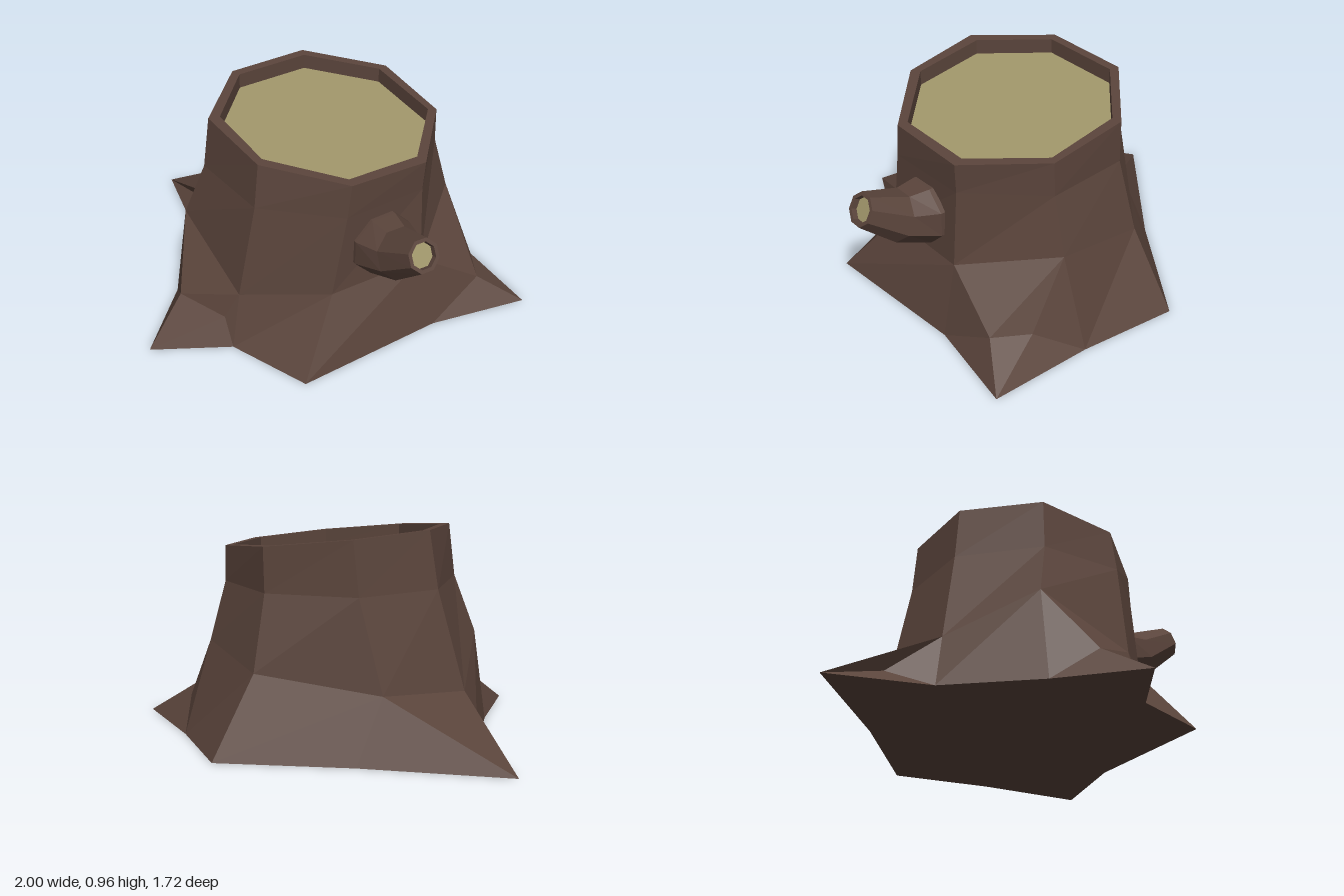
import * as THREE from 'three';

const bark = new THREE.MeshStandardMaterial({ color: 0x5a443b });
bark.name = 'bark brown';
const wood = new THREE.MeshStandardMaterial({ color: 0xa0966a });
wood.name = 'cut wood';

// Flat-faced mesh from convex polygons, each fanned into triangles
function facetMesh(name, material, polygons) {
  const pos = [];
  for (const p of polygons)
    for (let i = 1; i < p.length - 1; i++) pos.push(...p[0], ...p[i], ...p[i + 1]);
  const geo = new THREE.BufferGeometry();
  geo.setAttribute('position', new THREE.Float32BufferAttribute(pos, 3));
  geo.computeVertexNormals();
  const mesh = new THREE.Mesh(geo, material);
  mesh.name = name;
  return mesh;
}

// Quads joining a chain of equal rings
function loft(rings) {
  const quads = [];
  for (let k = 0; k < rings.length - 1; k++) {
    const a = rings[k], b = rings[k + 1];
    a.forEach((_, i) => {
      const j = (i + 1) % a.length;
      quads.push([a[i], a[j], b[j], b[i]]);
    });
  }
  return quads;
}

// Eight-sided ring round an axis
function ring(center, axis, radius) {
  const n = new THREE.Vector3(...axis).normalize();
  const u = new THREE.Vector3(0, 1, 0).addScaledVector(n, -n.y).normalize();
  const v = u.clone().cross(n);
  return Array.from({ length: 8 }, (_, i) => {
    const a = (i + 0.5) * Math.PI / 4;
    return new THREE.Vector3(...center)
      .addScaledVector(u, radius * Math.cos(a))
      .addScaledVector(v, radius * Math.sin(a)).toArray();
  });
}

// Height of the slanted cut
const cutY = (x) => 0.96 - (x + 0.4) * 0.112;

function buildTrunk() {
  const group = new THREE.Group();
  group.name = 'trunk';

  // Rings of eight corners, starting at the back and going towards +x
  const rimXZ = [[0.11, -0.565], [0.47, -0.41], [0.63, -0.03], [0.475, 0.32],
    [0.095, 0.46], [-0.26, 0.33], [-0.4, -0.04], [-0.26, -0.41]];
  const innerXZ = [[0.1, -0.52], [0.44, -0.385], [0.58, -0.04], [0.44, 0.29],
    [0.085, 0.415], [-0.23, 0.285], [-0.36, -0.04], [-0.23, -0.38]];
  const rim = rimXZ.map(([x, z]) => [x, cutY(x), z]);
  const inner = innerXZ.map(([x, z]) => [x, cutY(x), z]);
  const floor = innerXZ.map(([x, z]) => [x, cutY(x) - 0.07, z]);
  const mid = [[0.105, 0.7, -0.565], [0.47, 0.7, -0.415], [0.62, 0.7, -0.03], [0.465, 0.7, 0.335],
    [0.095, 0.7, 0.49], [-0.28, 0.7, 0.35], [-0.44, 0.7, -0.03], [-0.29, 0.7, -0.41]];
  const low = [[0.1, 0.36, -0.65], [0.51, 0.43, -0.48], [0.64, 0.33, -0.02], [0.43, 0.31, 0.39],
    [0.05, 0.25, 0.56], [-0.37, 0.44, 0.39], [-0.56, 0.25, 0.01], [-0.41, 0.285, -0.4]];

  // Ground outline: root tips and the hollows between them
  const backTip = [0.16, 0, -0.86], backHollow = [0.56, 0, -0.61];
  const leftTip = [1, 0, -0.39], leftHollow = [0.73, 0, -0.01];
  const cornerTip = [0.465, 0, 0.65], frontHollow = [0.06, 0, 0.63];
  const frontTip = [-0.24, 0, 0.855], sideHollow = [-0.4, 0, 0.45];
  const rightHollow = [-0.62, 0, 0.03], rightTip = [-1, 0, -0.26], rearHollow = [-0.38, 0, -0.55];
  const ground = [backTip, backHollow, leftTip, leftHollow, cornerTip, frontHollow,
    frontTip, sideHollow, rightHollow, rightTip, rearHollow];

  // Knuckles part of the way down the longer roots
  const leftBack = [0.7, 0.13, -0.42], leftFront = [0.81, 0.14, -0.27];
  const frontA = [-0.25, 0.15, 0.605], frontB = [0, 0.13, 0.605];
  const rightKnuckle = [-0.74, 0.07, -0.15];

  group.add(facetMesh('trunkBark', bark, loft([floor, inner, rim, mid, low])));
  group.add(facetMesh('roots', bark, [
    // back
    [low[7], low[0], backTip, rearHollow],
    [low[0], low[1], backHollow, backTip],
    // left root
    [low[1], leftBack, backHollow], [leftBack, leftTip, backHollow],
    [low[1], low[2], leftFront, leftBack], [leftBack, leftFront, leftTip],
    [leftFront, leftHollow, leftTip], [low[2], leftHollow, leftFront],
    // front left corner
    [low[2], low[3], cornerTip, leftHollow], [low[3], low[4], frontHollow, cornerTip],
    // front root
    [low[4], low[5], frontA, frontB], [frontA, frontTip, frontB],
    [frontB, frontTip, frontHollow], [frontB, frontHollow, low[4]],
    [low[5], sideHollow, frontA], [frontA, sideHollow, frontTip],
    // right root
    [low[5], low[6], rightHollow, sideHollow],
    [low[6], rightKnuckle, rightHollow], [rightKnuckle, rightTip, rightHollow],
    [low[6], low[7], rightTip], [low[6], rightTip, rightKnuckle],
    [low[7], rearHollow, rightTip],
  ]));
  group.add(facetMesh('underside', bark,
    ground.map((p, i) => [[0, 0, 0], p, ground[(i + 1) % ground.length]])));
  group.add(facetMesh('cutFace', wood, [[...floor].reverse()]));
  return group;
}

function buildBranch() {
  const group = new THREE.Group();
  group.name = 'branchStub';
  const axis = [0.82, 0.46, 0.4];
  const tip = [0.825, 0.645, 0.315];
  const sunk = tip.map((c, i) => c - axis[i] * 0.025);
  const floor = ring(sunk, axis, 0.058);
  group.add(facetMesh('branchBark', bark, loft([
    floor,
    ring(tip, axis, 0.06),
    ring(tip, axis, 0.077),
    ring([0.67, 0.54, 0.235], [0.85, 0.38, 0.4], 0.118),
    ring([0.55, 0.505, 0.175], [0.9, 0, 0.44], 0.152),
    ring([0.46, 0.505, 0.13], [0.9, 0, 0.44], 0.152),
  ])));
  group.add(facetMesh('branchCutFace', wood, [[...floor].reverse()]));
  return group;
}

export function createModel() {
  const model = new THREE.Group();
  model.name = 'treeStump';
  model.add(buildTrunk(), buildBranch());
  return model;
}
